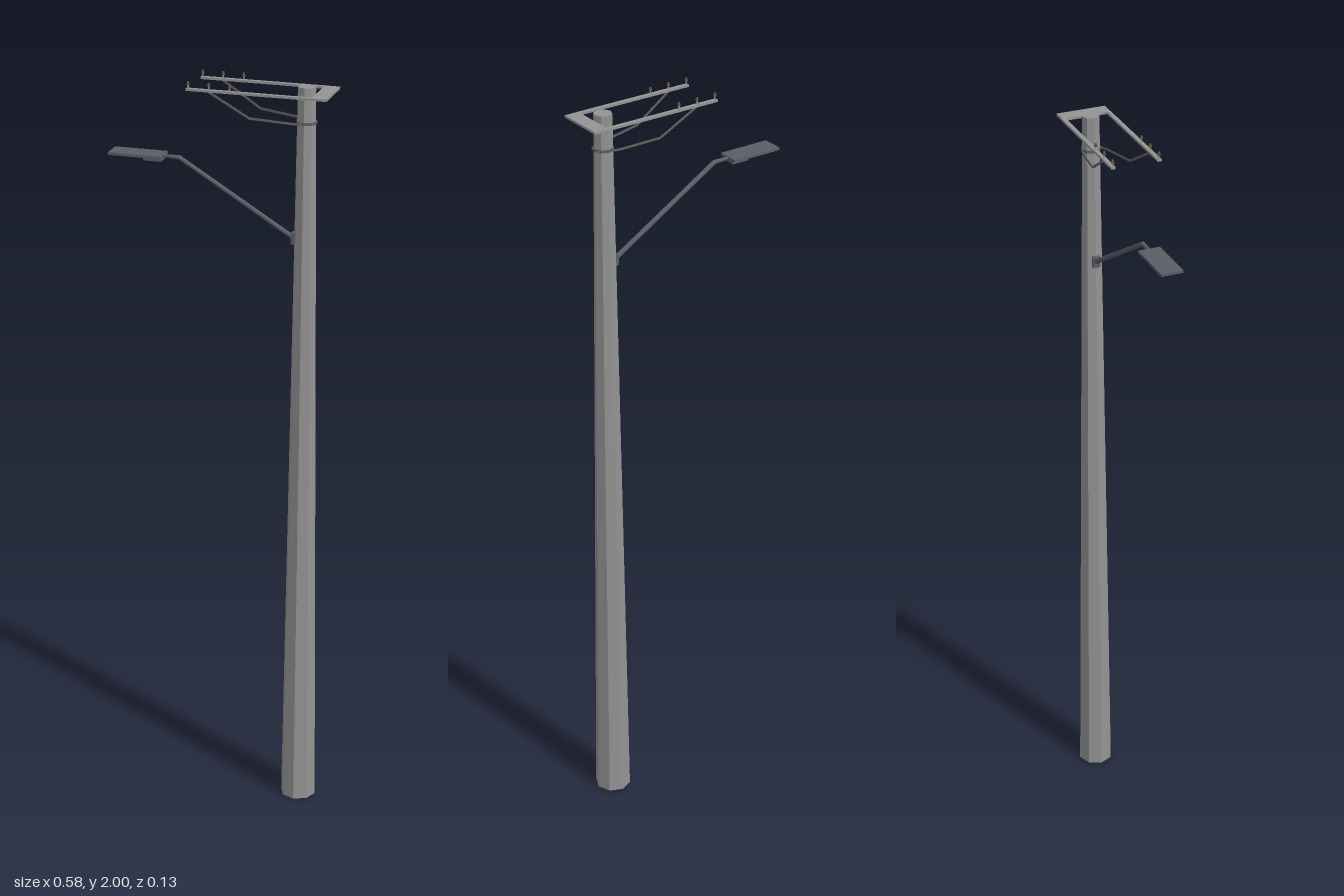
import * as THREE from 'three';

const mat = (color) => new THREE.MeshStandardMaterial({ color, flatShading: true });
const poleGrey = mat(0x949494);
const braceGrey = mat(0x606060);
const lampGrey = mat(0x5a5e65);
const glass = mat(0xd2d2a8);
const brown = mat(0x6e4e36);

const POLE_X = 0.224;
const HEIGHT = 1.995;
const poleRadius = (y) => 0.048 - (0.048 - 0.0235) * (y / HEIGHT);

export function createModel() {
  const model = new THREE.Group();

  const add = (name, geometry, material, x = 0, y = 0, z = 0, parent = model) => {
    const mesh = new THREE.Mesh(geometry, material);
    mesh.name = name;
    mesh.position.set(x, y, z);
    parent.add(mesh);
    return mesh;
  };
  const box = (name, material, size, pos, parent) =>
    add(name, new THREE.BoxGeometry(...size), material, ...pos, parent);

  // Lay a geometry of unit length along z between two points, keeping its y axis upright
  const span = (name, geometry, a, b, material, parent) => {
    const from = new THREE.Vector3(...a);
    const to = new THREE.Vector3(...b);
    const mesh = add(name, geometry, material, 0, 0, 0, parent);
    mesh.position.copy(from).lerp(to, 0.5);
    mesh.scale.z = from.distanceTo(to);
    mesh.lookAt(to);
  };
  const rod = (name, a, b, r0, r1, parent) =>
    span(name, new THREE.CylinderGeometry(r1, r0, 1, 8).rotateX(Math.PI / 2), a, b, lampGrey, parent);

  // Tapered octagonal pole
  add('pole', new THREE.CylinderGeometry(poleRadius(HEIGHT), poleRadius(0), HEIGHT, 8), poleGrey, POLE_X, HEIGHT / 2, 0);

  // Clamp band holding the braces
  const bandR = poleRadius(1.904) + 0.002;
  add('braceBand', new THREE.CylinderGeometry(bandR, bandR, 0.007, 8), braceGrey, POLE_X, 1.904, 0);

  // Crossarm: end plate and two long rails
  const crossarm = new THREE.Group();
  crossarm.name = 'crossarm';
  model.add(crossarm);
  box('endPlate', poleGrey, [0.039, 0.006, 0.132], [0.272, 1.98, 0], crossarm);

  for (const side of [-1, 1]) {
    const z = side * 0.061;
    box('rail', poleGrey, [0.324, 0.006, 0.011], [0.091, 1.98, z], crossarm);

    // Pin insulators
    for (const x of [-0.066, -0.012, 0.042]) {
      const insulator = new THREE.Group();
      insulator.name = 'insulator';
      insulator.position.set(x, 1.983, z);
      crossarm.add(insulator);
      add('pin', new THREE.CylinderGeometry(0.002, 0.002, 0.012, 6), poleGrey, 0, 0.005, 0, insulator);
      add('cap', new THREE.CylinderGeometry(0.003, 0.0045, 0.008, 8), brown, 0, 0.013, 0, insulator);
    }

    // Bent flat-strip brace from rail to pole
    const path = [
      [-0.014, 1.978, side * 0.061],
      [0.09, 1.915, side * 0.05],
      [0.2, 1.905, side * 0.033],
      [POLE_X + 0.026, 1.903, side * 0.012],
    ];
    for (let i = 0; i < 3; i++) {
      span('brace', new THREE.BoxGeometry(0.0015, 0.006, 1), path[i], path[i + 1], braceGrey, crossarm);
    }
  }

  // Street light: wall bracket, bent arm and lamp head
  const light = new THREE.Group();
  light.name = 'streetLight';
  model.add(light);
  box('armBracket', lampGrey, [0.01, 0.03, 0.02], [0.194, 1.599, 0], light);
  rod('arm', [0.196, 1.598, 0], [-0.11, 1.784, 0], 0.0065, 0.006, light);
  add('armElbow', new THREE.SphereGeometry(0.006, 8, 6), lampGrey, -0.11, 1.784, 0, light);
  rod('armTip', [-0.11, 1.784, 0], [-0.165, 1.785, 0], 0.006, 0.004, light);
  box('lampHead', lampGrey, [0.142, 0.007, 0.058], [-0.222, 1.786, -0.001], light);
  box('lampHousing', lampGrey, [0.048, 0.012, 0.036], [-0.178, 1.779, -0.001], light);
  box('lampPanel', glass, [0.074, 0.003, 0.044], [-0.245, 1.782, -0.001], light);

  return model;
}
